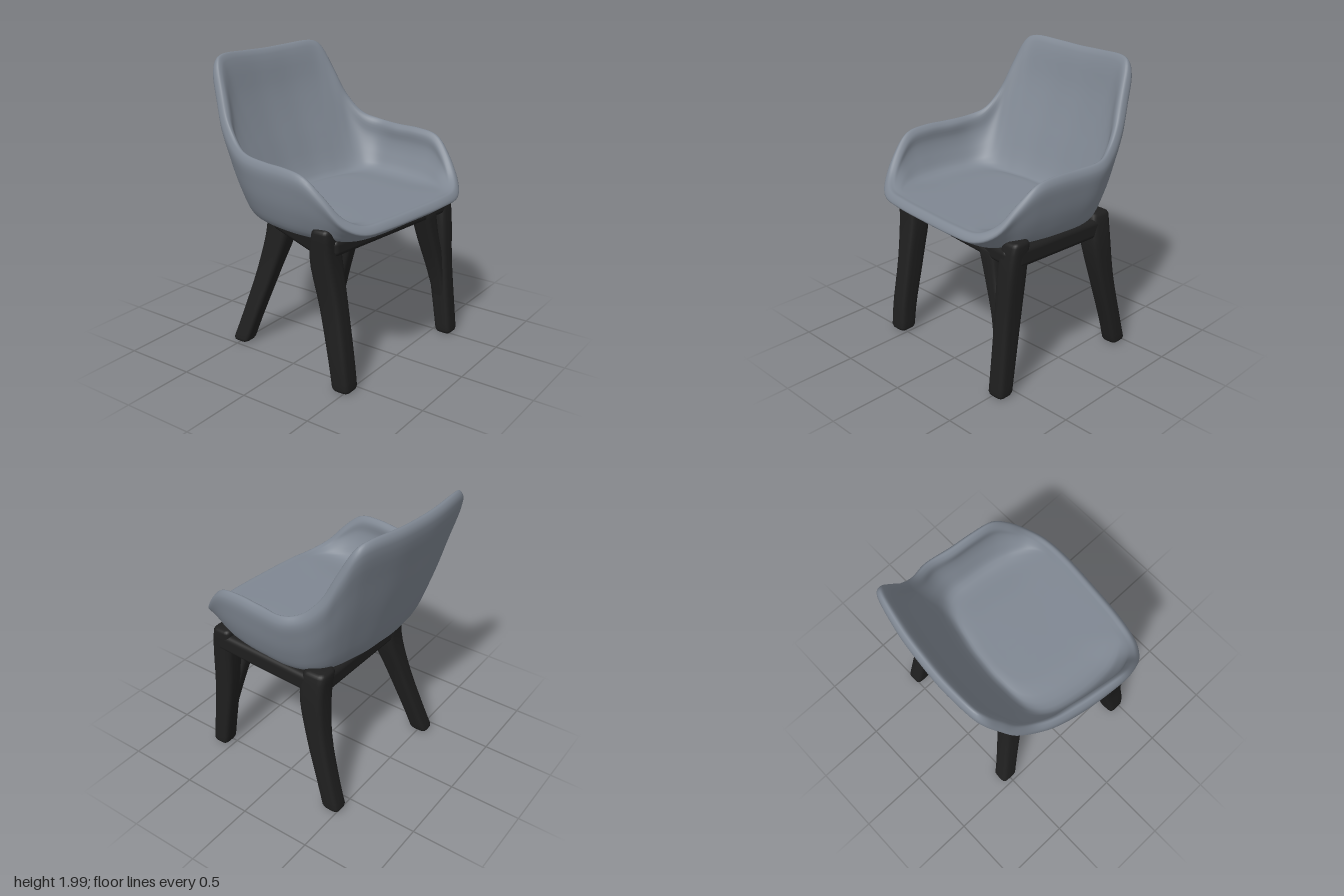
import * as THREE from 'three';
import { mergeVertices } from 'three/addons/utils/BufferGeometryUtils.js';
import { RoundedBoxGeometry } from 'three/addons/geometries/RoundedBoxGeometry.js';

const V = (x, y, z) => new THREE.Vector3(x, y, z);

// Smooth skin over `around` closed columns and `along` rows of points
function loft(around, along, pointAt) {
  const pos = [], idx = [];
  for (let i = 0; i < around; i++)
    for (let j = 0; j < along; j++) pos.push(...pointAt(i, j).toArray());
  for (let i = 0; i < around; i++) {
    const n = (i + 1) % around;
    for (let j = 0; j < along - 1; j++) {
      const a = i * along + j, b = a + 1, c = n * along + j, d = c + 1;
      idx.push(a, b, c, b, d, c);
    }
  }
  let geo = new THREE.BufferGeometry();
  geo.setAttribute('position', new THREE.Float32BufferAttribute(pos, 3));
  geo.setIndex(idx);
  geo = mergeVertices(geo, 1e-5);
  geo.computeVertexNormals();
  return geo;
}

// Half outline from front centre to back centre, mirrored into a closed curve;
// flare widens the right side where the arm meets the back
function mirroredLoop(half, flare) {
  const pts = half.map(p => V(...p));
  for (let k = half.length - 2; k > 0; k--) {
    const [x, y, z] = half[k];
    pts.push(V(x, y, -z - flare * Math.exp(-(((x + 0.22) / 0.2) ** 2))));
  }
  return new THREE.CatmullRomCurve3(pts, true, 'catmullrom', 0.5);
}

// Padded bucket: profiles run from the underside, over the rim, to the seat
function shellGeometry() {
  const rim = mirroredLoop([
    [0.685, 1.11, 0], [0.68, 1.11, 0.28], [0.65, 1.115, 0.48], [0.57, 1.18, 0.6],
    [0.46, 1.31, 0.66], [0.34, 1.41, 0.695], [0.18, 1.435, 0.7], [0, 1.435, 0.69],
    [-0.2, 1.445, 0.665], [-0.34, 1.49, 0.625], [-0.46, 1.62, 0.595], [-0.54, 1.79, 0.56],
    [-0.615, 1.95, 0.515], [-0.655, 2, 0.43], [-0.685, 1.995, 0.2], [-0.69, 1.99, 0]], 0.04);
  const base = mirroredLoop([
    [0.59, 1, 0], [0.59, 1, 0.26], [0.56, 1, 0.43], [0.49, 1, 0.51],
    [0.39, 1, 0.56], [0.28, 1, 0.58], [0.15, 1, 0.59], [0, 1, 0.58],
    [-0.12, 1, 0.56], [-0.22, 1, 0.525], [-0.29, 1, 0.48], [-0.34, 1, 0.42],
    [-0.37, 1, 0.33], [-0.385, 1, 0.24], [-0.4, 1, 0.12], [-0.4, 1, 0]], 0.03);
  const around = 150, along = 56;
  const columns = [];
  for (let i = 0; i < around; i++) {
    const R = rim.getPoint(i / around), B = base.getPoint(i / around);
    const inward = V(B.x - R.x, 0, B.z - R.z).normalize();
    const move = (p, d, dy = 0) => p.clone().addScaledVector(inward, d).add(V(0, dy, 0));
    const flat = (k, y) => V(B.x * k, y, B.z * k);
    const rise = THREE.MathUtils.clamp((R.y - 1.11) / 0.3, 0, 1);
    const outerRim = move(R, 0, -0.045), innerRim = move(R, 0.065, -0.035 * rise);
    // The seat runs flat to the front lip and curves up early at the back
    const reach = THREE.MathUtils.lerp(0.68, 0.98, THREE.MathUtils.smoothstep(B.x, -0.35, 0.15));
    const seat = V(B.x * reach, 1.11, B.z * 0.92);
    const wall = (a, b, t, k) => move(a.clone().lerp(b, t), -k * rise * t * (1 - t) * 0.4);
    columns.push(new THREE.CatmullRomCurve3([
      V(0.08, 0.975, 0), flat(0.6, 0.975), flat(0.92, 0.98), move(B, -0.015, 0.01),
      wall(B, outerRim, 0.35, 0.35), wall(B, outerRim, 0.7, 0.28), outerRim,
      move(R, 0.03), innerRim,
      wall(seat, innerRim, 0.7, 0.35), wall(seat, innerRim, 0.35, 0.35), seat,
      flat(0.5, 1.108), V(0.08, 1.108, 0)]));
  }
  return loft(around, along, (i, j) => columns[i].getPoint(j / (along - 1)));
}

// Leg from stations [x, y, z, width x, width z], with a rounded-square section
function legGeometry(stations) {
  const centre = new THREE.CatmullRomCurve3(stations.map(s => V(s[0], s[1], s[2])));
  const size = new THREE.CatmullRomCurve3(stations.map(s => V(s[3], s[1], s[4])));
  const ends = [[0, 0], [0, 0.7], [0.012, 0.9], [0.035, 1]];
  const rows = [...ends];
  for (let k = 1; k < 14; k++) rows.push([0.035 + 0.93 * k / 14, 1]);
  rows.push(...ends.map(([t, k]) => [1 - t, k]).reverse());
  const soft = v => Math.sign(v) * Math.pow(Math.abs(v), 0.5);
  return loft(28, rows.length, (i, j) => {
    const [t, k] = rows[j], a = i / 28 * Math.PI * 2;
    const c = centre.getPoint(t), s = size.getPoint(t);
    return c.add(V(soft(Math.cos(a)) * s.x * k / 2, 0, soft(Math.sin(a)) * s.z * k / 2));
  });
}

export function createModel() {
  const chair = new THREE.Group();
  chair.name = 'armchair';
  const upholstery = new THREE.MeshStandardMaterial({ color: 0x7f8792 });
  upholstery.name = 'slate grey upholstery';
  const blackWood = new THREE.MeshStandardMaterial({ color: 0x1f1f1f });
  blackWood.name = 'black frame';
  const add = (name, geo, mat) => {
    const mesh = new THREE.Mesh(geo, mat);
    mesh.name = name;
    chair.add(mesh);
    return mesh;
  };

  // Seat, arms and back in one shell, turned slightly on the frame
  add('seatShell', shellGeometry(), upholstery).rotation.y = -0.1;

  // Four splayed legs
  const legs = {
    frontLeftLeg: [[0.475, 0.01, 0.575, 0.13, 0.14], [0.45, 0.2, 0.575, 0.14, 0.14],
      [0.385, 0.55, 0.565, 0.16, 0.14], [0.33, 0.88, 0.575, 0.17, 0.17], [0.345, 1.085, 0.6, 0.13, 0.15]],
    frontRightLeg: [[0.59, 0.01, -0.525, 0.12, 0.13], [0.565, 0.2, -0.525, 0.13, 0.13],
      [0.52, 0.55, -0.525, 0.15, 0.13], [0.49, 0.88, -0.535, 0.16, 0.14], [0.47, 1.06, -0.55, 0.14, 0.13]],
    backLeftLeg: [[-0.505, 0.01, 0.42, 0.13, 0.12], [-0.45, 0.2, 0.38, 0.13, 0.12],
      [-0.35, 0.55, 0.305, 0.15, 0.13], [-0.28, 0.85, 0.245, 0.18, 0.17], [-0.285, 1.01, 0.235, 0.17, 0.17]],
    backRightLeg: [[-0.455, 0.01, -0.615, 0.13, 0.12], [-0.405, 0.2, -0.61, 0.13, 0.12],
      [-0.315, 0.55, -0.59, 0.15, 0.13], [-0.27, 0.85, -0.56, 0.18, 0.16], [-0.28, 1.03, -0.53, 0.17, 0.16]],
  };
  for (const [name, stations] of Object.entries(legs)) add(name, legGeometry(stations), blackWood);

  // Brace growing out of the front right leg up to the front rail
  add('cornerBrace', legGeometry([[0.565, 0.2, -0.515, 0.08, 0.08], [0.515, 0.5, -0.475, 0.12, 0.1],
    [0.485, 0.75, -0.4, 0.14, 0.11], [0.47, 0.97, -0.345, 0.15, 0.15]]), blackWood);

  // Rails joining the leg tops under the seat
  const rail = (name, a, b, height) => {
    const mesh = add(name, new RoundedBoxGeometry(0.16, height, a.distanceTo(b) + 0.06, 4, 0.035), blackWood);
    mesh.position.copy(a).add(b).multiplyScalar(0.5);
    mesh.lookAt(b);
  };
  const FL = V(0.35, 0.955, 0.565), FR = V(0.48, 0.955, -0.53);
  const BL = V(-0.28, 0.92, 0.24), BR = V(-0.27, 0.93, -0.54);
  rail('frontRail', FL, FR, 0.11);
  rail('leftRail', FL, BL, 0.14);
  rail('rightRail', FR, BR, 0.13);
  rail('backRail', BL, BR, 0.13);
  return chair;
}
